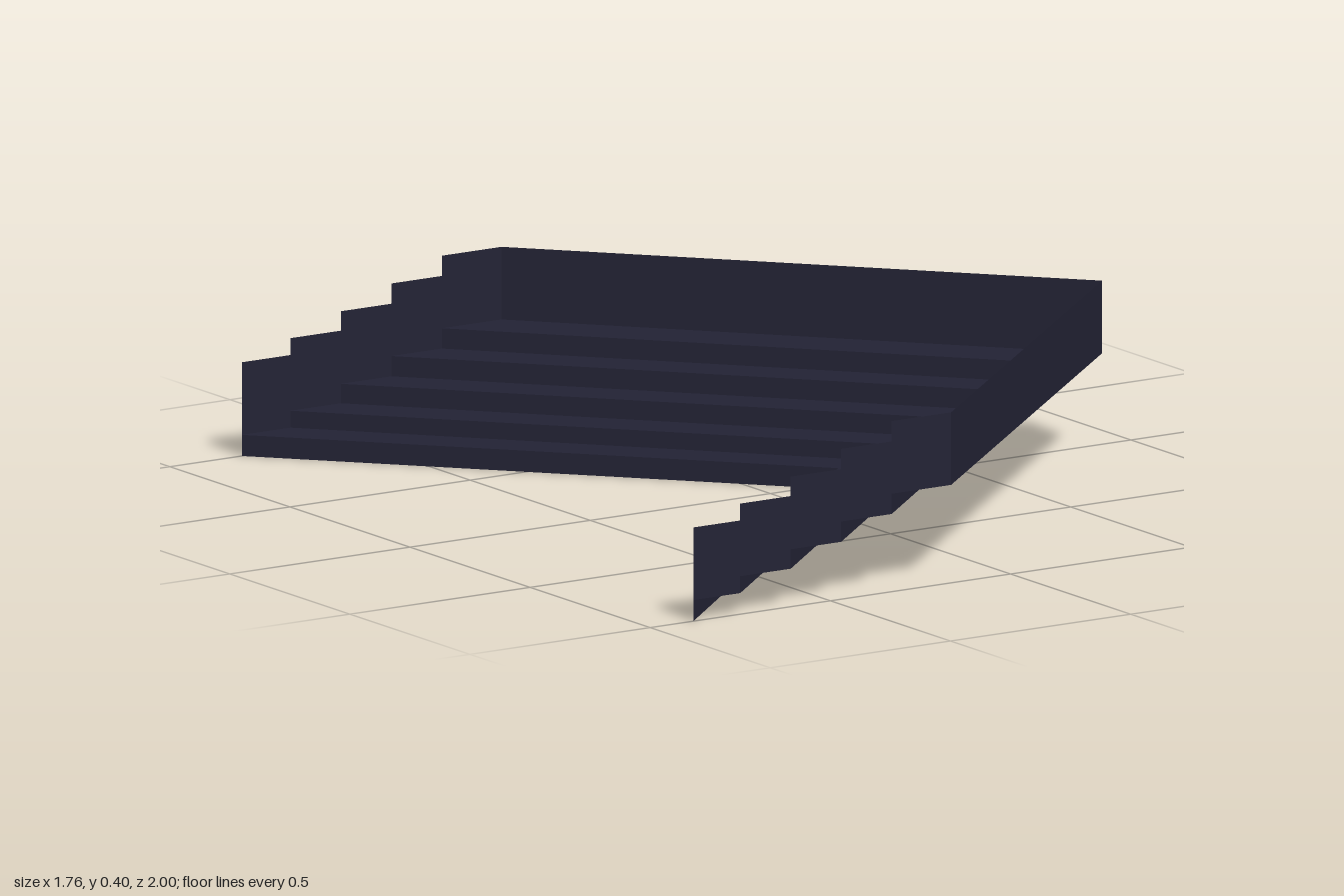
import * as THREE from 'three';

const navy = new THREE.MeshStandardMaterial({ color: 0x222234, side: THREE.DoubleSide });
navy.name = 'dark navy';

// Chevron edge lines, inner to outer: x at the front end, the corner and the back end
const edges = [
  { front: -0.88, corner: 0.155, back: -0.8, z: 0.05 },
  { front: -0.75, corner: 0.29, back: -0.665, z: 0.052 },
  { front: -0.61, corner: 0.43, back: -0.525, z: 0.054 },
  { front: -0.47, corner: 0.57, back: -0.385, z: 0.056 },
  { front: -0.33, corner: 0.71, back: -0.245, z: 0.058 },
  { front: -0.165, corner: 0.88, back: -0.08, z: 0.06 },
];
const treadY = [0.05, 0.09, 0.136, 0.184, 0.232];
const wallHeight = 0.172;

// The three points of an edge line at height y
const line = (e, y) => [[e.front, y, 1], [e.corner, y, e.z], [e.back, y, -1]];

// Thin sheet stretched between two point rows
function sheet(name, a, b) {
  const pos = [];
  for (let i = 0; i < a.length - 1; i++) {
    pos.push(...a[i], ...a[i + 1], ...b[i + 1], ...a[i], ...b[i + 1], ...b[i]);
  }
  const geo = new THREE.BufferGeometry();
  geo.setAttribute('position', new THREE.Float32BufferAttribute(pos, 3));
  geo.computeVertexNormals();
  const mesh = new THREE.Mesh(geo, navy);
  mesh.name = name;
  return mesh;
}

export function createModel() {
  const model = new THREE.Group();
  model.name = 'cornerGrandstand';

  treadY.forEach((y, i) => {
    const inner = edges[i], outer = edges[i + 1];
    // Riser and tread of each step
    model.add(sheet('riser', line(inner, i ? treadY[i - 1] : 0), line(inner, y)));
    model.add(sheet('tread', line(inner, y), line(outer, y)));

    // Stepped side walls closing both ends
    const top = y + wallHeight;
    model.add(sheet('frontEndWall',
      [[inner.front, y, 1], [outer.front, y, 1]],
      [[inner.front, top, 1], [outer.front, top, 1]]));
    model.add(sheet('backEndWall',
      [[outer.back, y, -1], [inner.back, y, -1]],
      [[outer.back, top, -1], [inner.back, top, -1]]));
  });

  // Tall wall along the outer edge
  const last = edges[5], base = treadY[4];
  model.add(sheet('outerWall', line(last, base), line(last, base + wallHeight)));
  return model;
}
